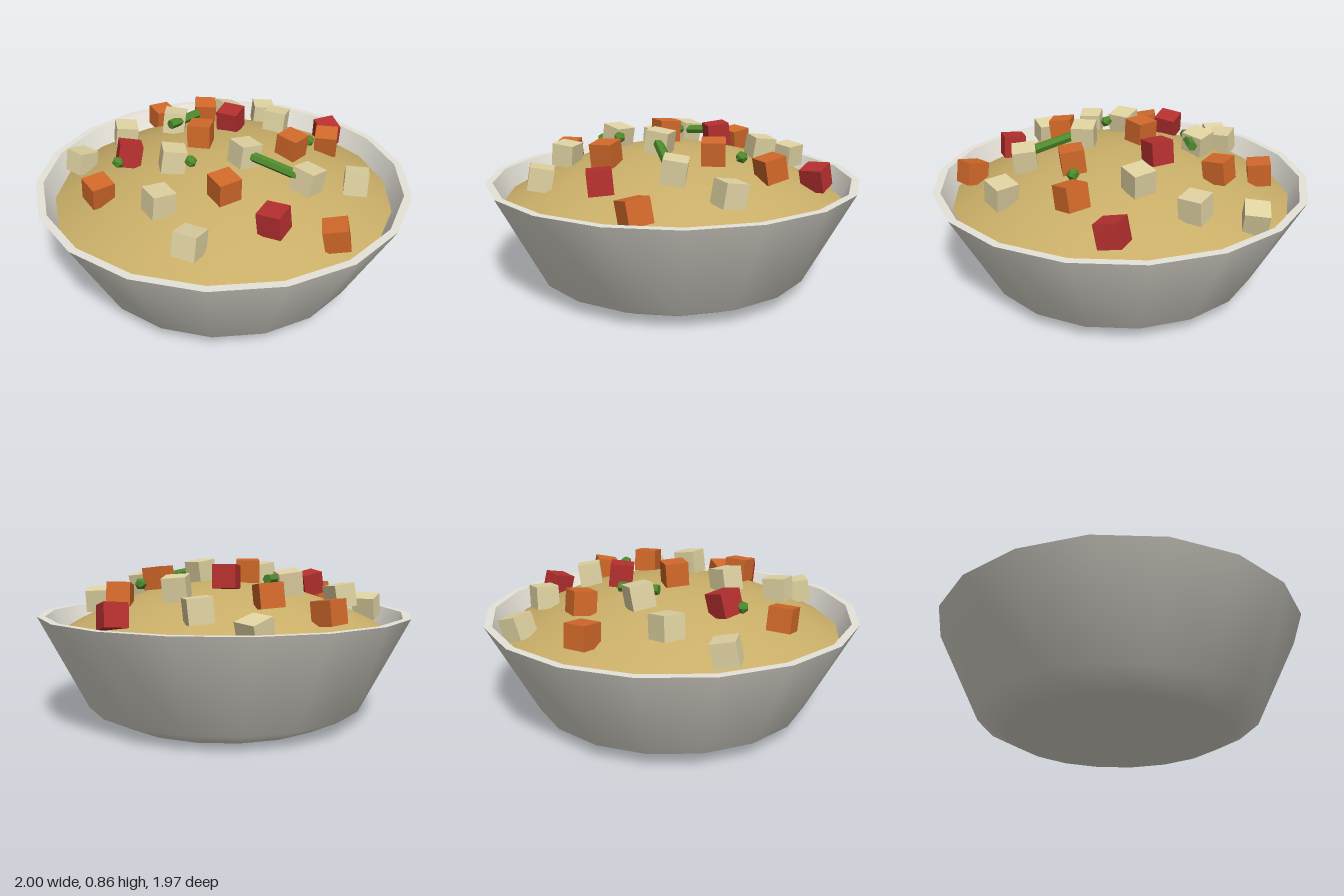
import * as THREE from 'three';

const material = (name, color, flatShading = false) => {
  const m = new THREE.MeshStandardMaterial({ color, flatShading });
  m.name = name;
  return m;
};

export function createModel() {
  const model = new THREE.Group();
  model.name = 'bowlOfSoup';
  const ceramic = material('ceramic', 0xe8e4da);
  const broth = material('broth', 0xc9ae68);
  const cream = material('creamCube', 0xe0d3a2, true);
  const orange = material('carrotOrange', 0xd2692a, true);
  const red = material('pepperRed', 0xb5302f, true);
  const green = material('herbGreen', 0x4f8a2c, true);

  const add = (name, geometry, mat, parent = model) => {
    const mesh = new THREE.Mesh(geometry, mat);
    mesh.name = name;
    parent.add(mesh);
    return mesh;
  };
  // 18-sided turned shape with a corner on the x axis
  const lathe = (name, points, mat) => {
    const g = new THREE.LatheGeometry(points.map(([r, y]) => new THREE.Vector2(r, y)), 18);
    add(name, g.rotateY(Math.PI / 2), mat);
  };

  // Bowl: outside, flat rim and inside wall
  lathe('bowlOutside', [[0, 0], [0.59, 0], [0.75, 0.08], [1, 0.573]], ceramic);
  lathe('bowlRim', [[1, 0.573], [0.96, 0.573]], ceramic);
  lathe('bowlInside', [[0.96, 0.573], [0.9, 0.45], [0.72, 0.11], [0, 0.06]], ceramic);

  // Domed soup surface
  const surface = (x, z) => 0.47 + 0.27 * (1 - (x * x + z * z) / 0.828);
  const dome = [];
  for (let i = 0; i <= 8; i++) {
    const r = 0.91 * (1 - i / 8);
    dome.push([r, surface(r, 0)]);
  }
  lathe('soup', dome, broth);

  // Diced pieces: x, z, turn, lean x, lean z
  const dice = [
    ['creamCube', cream, [
      [-0.18, -0.82, 0.8, 0.15, -0.25], [0.08, -0.68, 0.33, 0.1, 0],
      [0.21, -0.42, -0.08, 0.08, -0.12], [-0.34, -0.23, 0.22, 0.1, -0.15],
      [-0.61, -0.145, 0.48, 0.15, 0], [0.71, 0.02, 0.07, 0, -0.17],
      [-0.785, 0.09, -0.45, 0.1, -0.2], [-0.2, 0.245, 0.42, 0.15, -0.1],
      [0.147, 0.134, -0.75, 0.1, -0.1], [0.48, 0.193, -0.48, 0.15, -0.1],
      [-0.178, 0.54, -0.75, 0.1, -0.05], [0.03, 0.733, -0.2, 0.05, -0.2],
    ]],
    ['carrotCube', orange, [
      [-0.52, -0.52, 0.8, 0.1, 0.05], [-0.237, -0.503, 0.3, 0.1, 0.1],
      [0.515, -0.305, 0.04, 0, 0.2], [0.355, -0.07, -0.47, 0.1, 0.05],
      [-0.125, -0.01, 0.07, 0, -0.06], [-0.53, 0.443, -0.68, 0.12, 0.12],
      [0.11, 0.412, -0.77, 0.05, 0.1], [0.66, 0.46, 0.12, -0.2, 0.1],
    ]],
    ['pepperCube', red, [
      [0.49, -0.593, 0.55, 0.05, 0.25], [-0.025, -0.273, -0.17, 0, 0.12],
      [-0.467, 0.165, 0.46, 0.15, -0.2], [0.373, 0.525, -0.28, -0.1, 0.05],
    ]],
  ];
  const up = new THREE.Vector3(0, 1, 0);
  const cube = new THREE.BoxGeometry(0.12, 0.12, 0.12);
  for (const [name, mat, places] of dice) {
    for (const [x, z, turn, leanX, leanZ] of places) {
      const piece = add(name, cube, mat);
      piece.position.set(x, surface(x, z) + 0.06, z);
      piece.quaternion
        .setFromUnitVectors(up, new THREE.Vector3(leanX, 1, leanZ).normalize())
        .multiply(new THREE.Quaternion().setFromAxisAngle(up, turn));
    }
  }

  // Peas
  const pea = new THREE.IcosahedronGeometry(0.033, 0);
  for (const [x, z] of [[0.43, -0.19], [-0.5, 0.245], [-0.097, 0.272]]) {
    add('pea', pea, green).position.set(x, surface(x, z) + 0.065, z);
  }

  // Green stalks laid between two points
  const stalks = [
    [[-0.23, 0.765, -0.31], [-0.335, 0.765, -0.13]],
    [[0.17, 0.79, 0.155], [0.43, 0.735, 0.207]],
  ];
  for (const [from, to] of stalks) {
    const a = new THREE.Vector3(...from);
    const b = new THREE.Vector3(...to);
    const stalk = add('greenStalk', new THREE.CylinderGeometry(0.026, 0.026, a.distanceTo(b), 6), green);
    stalk.position.lerpVectors(a, b, 0.5);
    stalk.quaternion.setFromUnitVectors(up, b.clone().sub(a).normalize());
  }
  return model;
}
